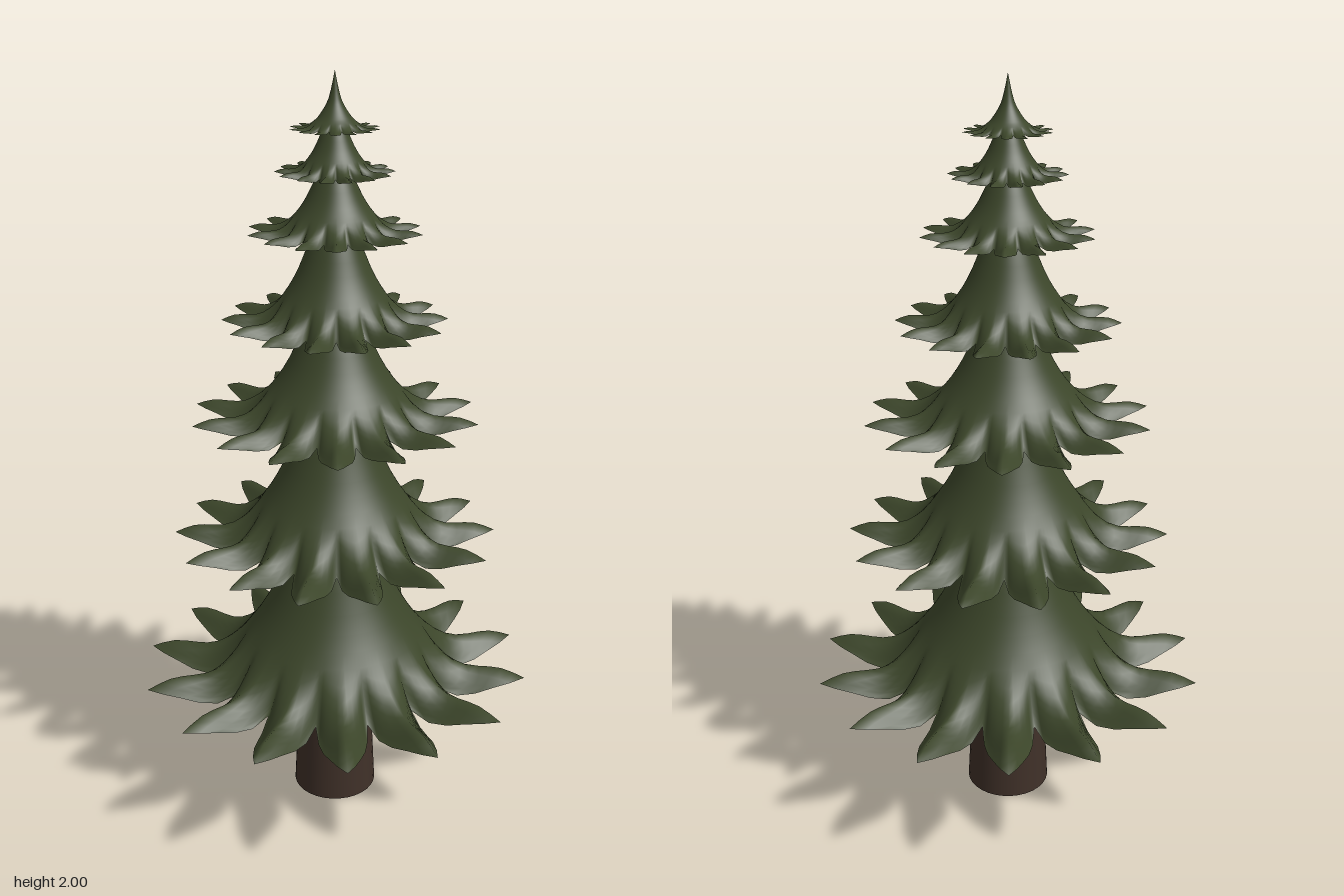
import * as THREE from 'three';

const TEETH = 14;         // branch tips per tier
const SEG = 10;           // columns per tip
const STEP = (Math.PI * 2) / TEETH;

// Profiles run from the peak to the tips: [radius / tip radius, height / tier height]
const SKIRT = [[0, 1.3], [0.1, 1.2], [0.2, 1], [0.33, 0.62], [0.45, 0.37], [0.56, 0.23], [0.68, 0.155], [0.87, 0.15], [1, 0.09]];
const SPIRE = [[0, 1], [0.05, 0.8], [0.15, 0.5], [0.33, 0.26], [0.45, 0.16], [0.56, 0.1], [0.7, 0.06], [0.87, 0.06], [1, 0.04]];

// Height of a profile at radius q, by lookup on a smooth curve
function heightLookup(profile) {
  const pts = new THREE.SplineCurve(profile.map(([x, y]) => new THREE.Vector2(x, y))).getPoints(120);
  return (q) => {
    let i = 1;
    while (i < pts.length - 1 && pts[i].x < q) i++;
    const a = pts[i - 1], b = pts[i];
    const t = THREE.MathUtils.clamp((q - a.x) / (b.x - a.x || 1), 0, 1);
    return a.y + (b.y - a.y) * t;
  };
}

// One flared tier whose hem splits into drooping, arched branch tips
function tierGeometry({ y, height, radius, turn, profile, droop }) {
  const heightAt = heightLookup(profile);
  const cols = TEETH * SEG, upper = 10, lower = 9, inner = 0.45;
  const positions = [], index = [];
  for (let row = 0; row <= upper + lower; row++) {
    for (let c = 0; c < cols; c++) {
      const f = (c % SEG) / SEG;
      const s = Math.abs(2 * f - 1);                 // 1 on a tip, 0 in a notch
      const rim = 0.58 + 0.42 * (1 - Math.pow(1 - s, 1.1));
      const t = Math.max(0, (row - upper) / lower);
      const q = row <= upper ? (inner * row) / upper : inner + (rim - inner) * t;
      const sag = droop * (1 - s * s) * t * t * (3 - 2 * t);
      const h = Math.max(0, heightAt(q) - sag);
      const a = turn + (c / SEG) * STEP;
      positions.push(q * radius * Math.cos(a), y + h * height, q * radius * Math.sin(a));
      if (row < upper + lower) {
        const p = row * cols + c, n = row * cols + ((c + 1) % cols);
        if (row > 0) index.push(p, n, n + cols);
        index.push(p, n + cols, p + cols);
      }
    }
  }
  const g = new THREE.BufferGeometry();
  g.setAttribute('position', new THREE.Float32BufferAttribute(positions, 3));
  g.setIndex(index);
  g.computeVertexNormals();
  // All peak vertices coincide, so they share one upward normal
  for (let c = 0; c < cols; c++) g.attributes.normal.setXYZ(c, 0, 1, 0);
  return g;
}

export function createModel() {
  const tree = new THREE.Group();
  tree.name = 'pineTree';
  const bark = new THREE.MeshStandardMaterial({ color: 0x3f3028 });
  const needles = new THREE.MeshStandardMaterial({ color: 0x3c462a, side: THREE.DoubleSide });

  // Tapered trunk, running up inside the lowest tier
  const trunk = new THREE.Mesh(new THREE.CylinderGeometry(0.085, 0.115, 0.62, 32), bark);
  trunk.name = 'trunk';
  trunk.position.y = 0.31;
  tree.add(trunk);

  // Tiers from the ground up: hem height, height to the next tier, tip radius
  const tiers = [
    [0.345, 0.42, 0.53],
    [0.76, 0.35, 0.43],
    [1.105, 0.265, 0.375],
    [1.365, 0.235, 0.288],
    [1.6, 0.15, 0.22],
    [1.75, 0.11, 0.148],
    [1.858, 0.142, 0.112],
  ];
  tiers.forEach(([y, height, radius], i) => {
    const top = i === tiers.length - 1;
    // Alternate tiers are turned by half a tip so the tips interleave
    const turn = i === 0 ? -0.042 : (i % 2) * STEP / 2;
    const tier = new THREE.Mesh(tierGeometry({
      y, height, radius, turn,
      profile: top ? SPIRE : SKIRT,
      droop: top ? 0.05 : 0.16,
    }), needles);
    tier.name = top ? 'topTier' : `branchTier${i + 1}`;
    tree.add(tier);
  });
  return tree;
}
